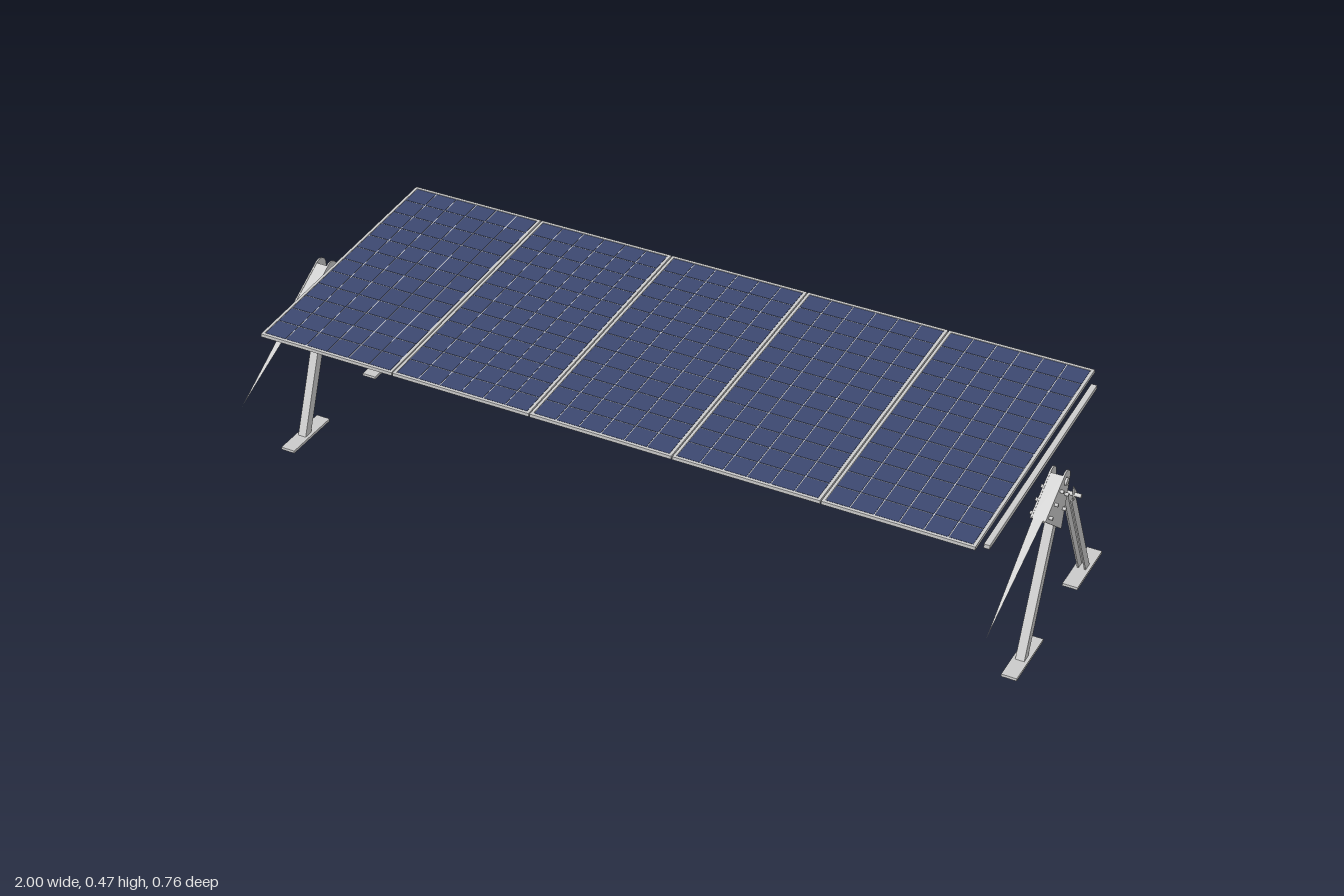
import * as THREE from 'three';
import { mergeGeometries } from 'three/addons/utils/BufferGeometryUtils.js';

const grey = new THREE.MeshStandardMaterial({ color: 0xcccccc });
const thin = new THREE.MeshStandardMaterial({ color: 0xcccccc, side: THREE.DoubleSide });
const blue = new THREE.MeshStandardMaterial({ color: 0x3c4870 });

function add(parent, name, geo, x = 0, y = 0, z = 0, mat = grey) {
  const m = new THREE.Mesh(geo, mat);
  m.name = name;
  m.position.set(x, y, z);
  parent.add(m);
  return m;
}
const box = (w, h, d) => new THREE.BoxGeometry(w, h, d);
const rodX = (r, len, sides = 16) => new THREE.CylinderGeometry(r, r, len, sides).rotateZ(Math.PI / 2);

// Extrude a (z, y) outline along x, centred on x = 0
function plateX(shape, thickness) {
  return new THREE.ExtrudeGeometry(shape, { depth: thickness, bevelEnabled: false, curveSegments: 10 })
    .translate(0, 0, -thickness / 2).rotateY(-Math.PI / 2);
}

// One framed solar panel with its cells, junction box and cable
function solarPanel() {
  const g = new THREE.Group();
  g.name = 'solarPanel';
  const W = 0.366, D = 0.713, H = 0.009, F = 0.007;
  add(g, 'backSheet', box(W - F, 0.006, D - F));
  for (const s of [-1, 1]) {
    add(g, 'frameSide', box(F, H, D), s * (W - F) / 2);
    add(g, 'frameEnd', box(W - 2 * F, H, F), 0, 0, s * (D - F) / 2);
  }
  // Grid of cells
  const cols = 6, rows = 12, cw = (W - 2 * F) / cols, cd = (D - 2 * F) / rows;
  const cells = [];
  for (let i = 0; i < cols; i++)
    for (let j = 0; j < rows; j++)
      cells.push(box(cw - 0.0025, 0.001, cd - 0.0025)
        .translate((i - (cols - 1) / 2) * cw, 0.0035, (j - (rows - 1) / 2) * cd));
  add(g, 'cells', mergeGeometries(cells), 0, 0, 0, blue);
  // Junction box and cable underneath
  add(g, 'junctionBox', box(0.06, 0.011, 0.075), 0, -0.0085, -0.05);
  const path = new THREE.CatmullRomCurve3([[0.02, -0.01], [0.022, 0.04], [0.028, 0.09], [0.022, 0.17], [0.026, 0.255]]
    .map(([x, z]) => new THREE.Vector3(x, -0.007, z)));
  add(g, 'cable', new THREE.TubeGeometry(path, 24, 0.002, 6));
  for (const z of [0.078, 0.255]) add(g, 'cableClip', box(0.008, 0.014, 0.004), 0.026, -0.01, z);
  return g;
}

// U-section leg running between two (z, y) points, cut level at both ends
function leg(parent, name, z0, y0, z1, y1) {
  const hw = 0.0125, t = 0.004;
  const outline = (a, b) => new THREE.Shape([
    new THREE.Vector2(z0 + a, y0), new THREE.Vector2(z0 + b, y0),
    new THREE.Vector2(z1 + b, y1), new THREE.Vector2(z1 + a, y1)]);
  for (const s of [-1, 1]) add(parent, name + 'Flange', plateX(outline(-hw, hw), t), s * 0.009);
  const outer = Math.sign(z0);
  const a = outer > 0 ? hw - t : -hw;
  add(parent, name + 'Web', plateX(outline(a, a + t), 0.016));
}

// Stand with two legs, a bracket head and its bolts
function stand() {
  const g = new THREE.Group();
  g.name = 'stand';
  leg(g, 'frontLeg', 0.1345, 0.006, 0.002, 0.345);
  leg(g, 'backLeg', -0.255, 0.006, -0.1, 0.306);
  for (const z of [0.13, -0.2485]) add(g, 'foot', box(0.038, 0.007, 0.162), 0, 0.0035, z);

  // Rounded triangular side plates
  const s = new THREE.Shape();
  s.moveTo(0.108, 0.377);
  s.lineTo(0.003, 0.4366);
  s.absarc(-0.01, 0.4135, 0.0265, 1.06, Math.PI + 0.2, false);
  s.lineTo(-0.008, 0.283);
  s.closePath();
  const hole = new THREE.Path();
  hole.absarc(-0.01, 0.4135, 0.01, 0, Math.PI * 2, true);
  s.holes.push(hole);
  for (const k of [-1, 1]) add(g, 'bracketPlate', plateX(s, 0.004), k * 0.0165);
  add(g, 'pivotTube', rodX(0.009, 0.046, 20), 0, 0.4135, -0.01);

  // Cover bridging the front slope of the plates
  const cover = new THREE.Shape([[0.106, 0.377], [0.003, 0.4355], [0.001, 0.4325], [0.102, 0.375]]
    .map(p => new THREE.Vector2(...p)));
  add(g, 'bracketCover', plateX(cover, 0.03));

  // Thin spike carrying on down the slope of the cover
  const spike = new THREE.BufferGeometry().setFromPoints([
    new THREE.Vector3(-0.012, 0.377, 0.106), new THREE.Vector3(0, 0.236, 0.38), new THREE.Vector3(0.012, 0.377, 0.106)]);
  spike.computeVertexNormals();
  add(g, 'spike', spike, 0, 0, 0, thin);

  // Bolts through the bracket
  for (const [z, y] of [[0.083, 0.373], [0.053, 0.39], [0.023, 0.407], [-0.013, 0.377], [-0.005, 0.342]]) {
    add(g, 'bolt', rodX(0.004, 0.054, 12), 0, y, z);
    for (const k of [-1, 1]) add(g, 'boltHead', rodX(0.0045, 0.006, 6), k * 0.024, y, z);
  }

  // Pointed lugs and pin on the back leg
  const lug = new THREE.Shape([[-0.085, 0.35], [-0.088, 0.325], [-0.092, 0.306], [-0.118, 0.308]]
    .map(p => new THREE.Vector2(...p)));
  for (const k of [-1, 1]) add(g, 'backLug', plateX(lug, 0.003), k * 0.0125);
  add(g, 'backPin', rodX(0.005, 0.06, 12), 0, 0.321, -0.096);
  return g;
}

export function createModel() {
  const model = new THREE.Group();
  model.name = 'solarArray';

  // Tilted array of five panels
  const array = new THREE.Group();
  array.name = 'panelArray';
  array.position.set(-0.01, 0.445, -0.0265);
  array.rotation.x = 0.0585;
  model.add(array);
  for (let i = -2; i <= 2; i++) {
    const p = solarPanel();
    p.position.x = i * 0.369;
    array.add(p);
  }

  // Rails under the panels, held by spacers
  const rail = (name, x, z0, z1) => {
    add(array, name, box(0.014, 0.011, z1 - z0), x, -0.0155, (z0 + z1) / 2);
    for (const t of [0.06, 0.5, 0.94])
      add(array, 'railSpacer', box(0.012, 0.006, 0.02), x, -0.007, z0 + (z1 - z0) * t);
  };
  for (const x of [-0.6, 0.03, 0.62]) rail('crossRail', x, -0.32, 0.13);
  rail('endRail', -0.91, -0.32, 0.322);
  add(array, 'endRail', box(0.014, 0.011, 0.642), 0.934, -0.0155, 0.001);

  // A stand at each end
  for (const side of [-1, 1]) {
    const st = stand();
    st.name = side > 0 ? 'leftStand' : 'rightStand';
    st.position.x = side * 0.97;
    model.add(st);
  }
  return model;
}
